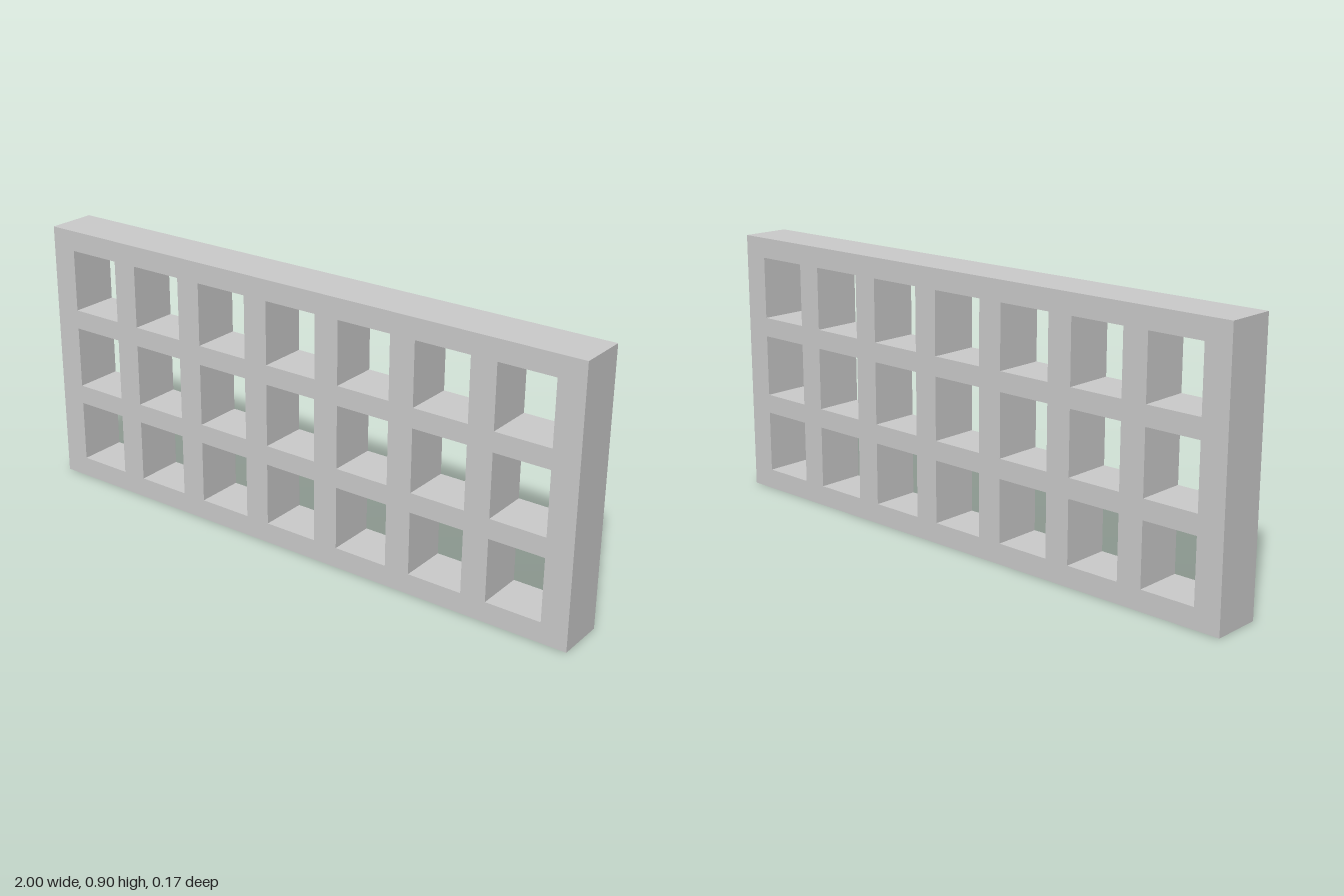
import * as THREE from 'three';

const WIDTH = 2, HEIGHT = 0.897, DEPTH = 0.166;
const COLS = 7, ROWS = 3;
const HOLE_W = 0.187, HOLE_H = 0.21;
const PITCH_X = 0.2727, PITCH_Y = 0.275;

// Adds a rectangle centred on (cx, cy) to a shape or path
function rectangle(path, cx, cy, w, h) {
  path.moveTo(cx - w / 2, cy - h / 2);
  path.lineTo(cx + w / 2, cy - h / 2);
  path.lineTo(cx + w / 2, cy + h / 2);
  path.lineTo(cx - w / 2, cy + h / 2);
  path.closePath();
  return path;
}

export function createModel() {
  const group = new THREE.Group();
  group.name = 'lattice';

  // Outer slab
  const outline = rectangle(new THREE.Shape(), 0, HEIGHT / 2, WIDTH, HEIGHT);

  // Grid of through openings
  for (let row = 0; row < ROWS; row++) {
    for (let col = 0; col < COLS; col++) {
      const cx = (col - (COLS - 1) / 2) * PITCH_X;
      const cy = HEIGHT / 2 + (row - (ROWS - 1) / 2) * PITCH_Y;
      outline.holes.push(rectangle(new THREE.Path(), cx, cy, HOLE_W, HOLE_H));
    }
  }

  const geometry = new THREE.ExtrudeGeometry(outline, { depth: DEPTH, bevelEnabled: false });
  geometry.translate(0, 0, -DEPTH / 2);
  const panel = new THREE.Mesh(
    geometry,
    new THREE.MeshStandardMaterial({ color: 0xcccccc, flatShading: true })
  );
  panel.name = 'latticePanel';
  group.add(panel);
  return group;
}
